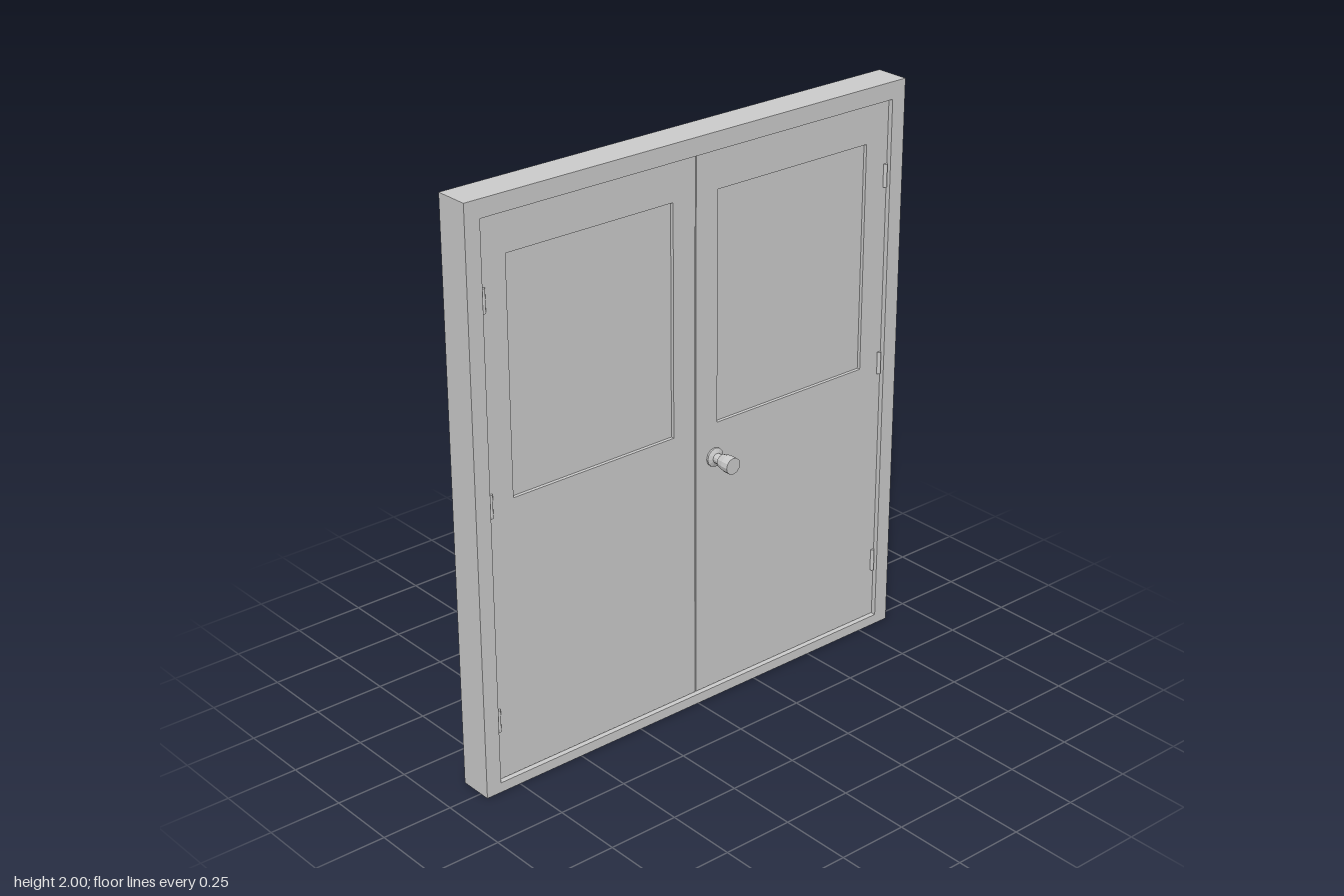
import * as THREE from 'three';

export function createModel() {
  const model = new THREE.Group();
  const mat = new THREE.MeshStandardMaterial({ color: 0xcccccc });
  const flat = new THREE.MeshStandardMaterial({ color: 0xcccccc, flatShading: true });

  const add = (name, geometry, x = 0, y = 0, z = 0, material = mat) => {
    const mesh = new THREE.Mesh(geometry, material);
    mesh.name = name;
    mesh.position.set(x, y, z);
    model.add(mesh);
    return mesh;
  };
  const rect = (path, x0, y0, x1, y1) => {
    path.moveTo(x0, y0);
    path.lineTo(x1, y0);
    path.lineTo(x1, y1);
    path.lineTo(x0, y1);
    path.closePath();
    return path;
  };
  // Rectangular plate with one rectangular opening
  const plate = (outer, hole, depth) => {
    const shape = rect(new THREE.Shape(), ...outer);
    shape.holes.push(rect(new THREE.Path(), ...hole));
    return new THREE.ExtrudeGeometry(shape, { depth, bevelEnabled: false });
  };

  // Surrounding frame with head, jambs and sill
  add('frame', plate([-0.88, 0, 0.88, 2], [-0.825, 0.035, 0.825, 1.94], 0.12), 0, 0, -0.085);

  for (const side of [-1, 1]) {
    const label = side < 0 ? 'right' : 'left';
    const span = (a, b) => (side < 0 ? [-b, -a] : [a, b]);

    // Door leaf with a window opening
    const [x0, x1] = span(0.002, 0.823);
    const [w0, w1] = span(0.091, 0.728);
    add(label + 'DoorLeaf', plate([x0, 0.038, x1, 1.938], [w0, 1.01, w1, 1.805], 0.04), 0, 0, -0.02);

    // Recessed window pane
    add(label + 'WindowPane', new THREE.BoxGeometry(w1 - w0, 0.795, 0.016),
      (w0 + w1) / 2, 1.4075, 0);

    // Hinge barrels
    for (const y of [0.255, 1.01, 1.68]) {
      add(label + 'Hinge', new THREE.CylinderGeometry(0.007, 0.007, 0.08, 12), side * 0.815, y, 0.022);
    }
  }

  // Strip closing the seam between the leaves
  add('meetingStrip', new THREE.BoxGeometry(0.004, 1.903, 0.03), 0, 0.9865, -0.005);

  // Door knobs: rosette, neck and flared grip, one on each face
  const profile = [
    [0, 0.018], [0.033, 0.018], [0.033, 0.026], [0.017, 0.033], [0.017, 0.06],
    [0.024, 0.06], [0.029, 0.085], [0.029, 0.113], [0, 0.113],
  ].map(([r, h]) => new THREE.Vector2(r, h));
  for (const side of [1, -1]) {
    const knob = add(side > 0 ? 'frontKnob' : 'backKnob', new THREE.LatheGeometry(profile, 12), 0.08, 0.89, 0, flat);
    knob.rotation.x = side * Math.PI / 2;
  }

  return model;
}
